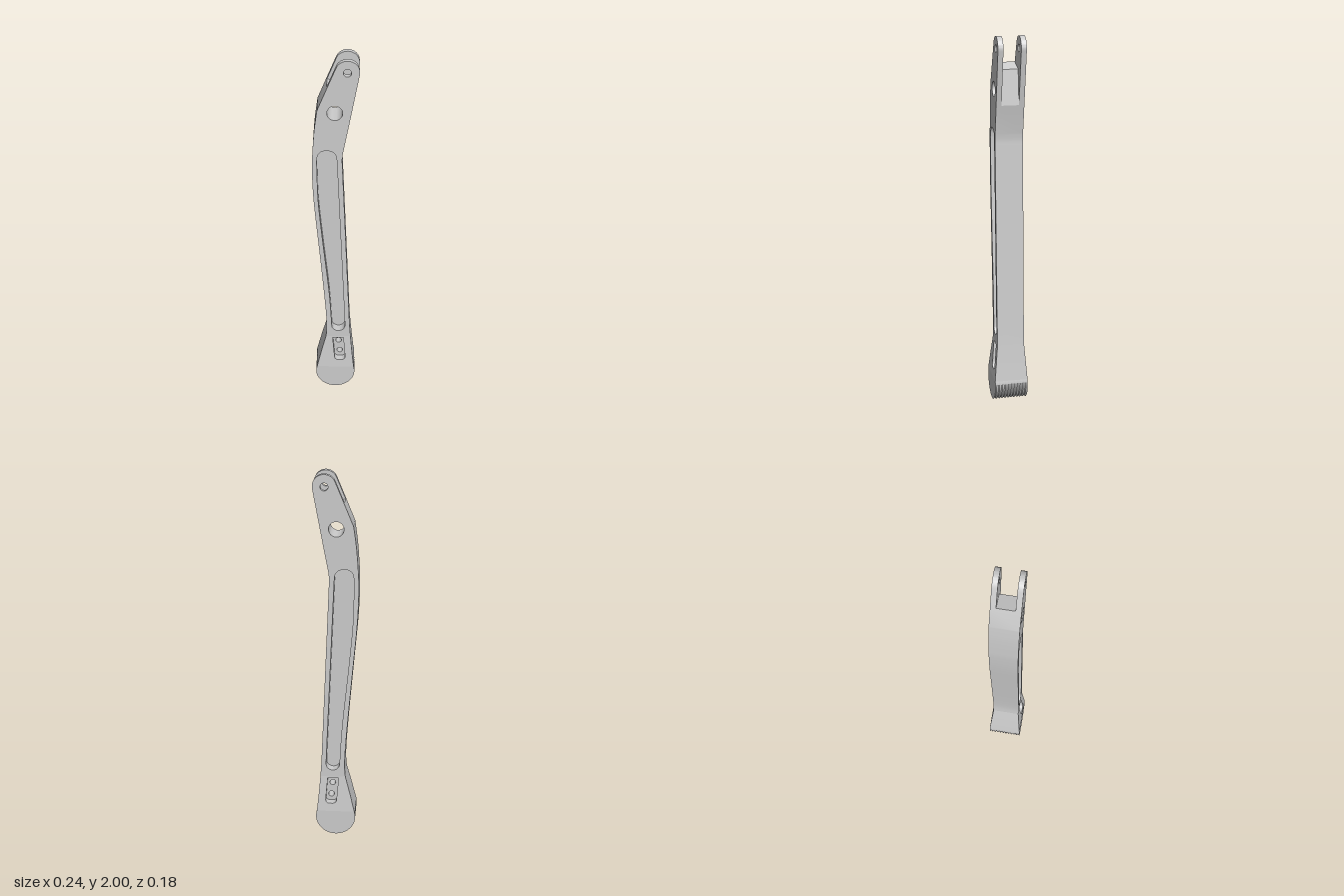
import * as THREE from 'three';
import { toCreasedNormals } from 'three/addons/utils/BufferGeometryUtils.js';

const BODY = 0.073, FLARE = 0.09, CHEEK = 0.045, WEB = 0.022;
const Y_LOW = 0.14, Y_HIGH = 0.345;
const material = new THREE.MeshStandardMaterial({ color: 0xcccccc });
const pts = (list) => list.map(([x, y]) => new THREE.Vector2(x, y));
const spline = (list, n) => new THREE.SplineCurve(pts(list)).getPoints(n);

// half thickness: constant along the beam, flaring toward the foot
const outerZ = (y) => THREE.MathUtils.clamp(
  THREE.MathUtils.mapLinear(y, Y_LOW, Y_HIGH, FLARE, BODY), BODY, FLARE);

// counter-clockwise arc points
function arc(cx, cy, r, a0, a1, n) {
  return Array.from({ length: n + 1 }, (_, i) => {
    const a = a0 + (a1 - a0) * i / n;
    return new THREE.Vector2(cx + r * Math.cos(a), cy + r * Math.sin(a));
  });
}
const circle = (x, y, r) => arc(x, y, r, 0, Math.PI * 2, 32);

// surface from rows of points, facing outward for a counter-clockwise path
function grid(rows) {
  const n = rows[0].length, position = [], index = [];
  rows.forEach((row) => row.forEach((p) => position.push(...p)));
  for (let i = 0; i < rows.length - 1; i++) for (let j = 0; j < n - 1; j++) {
    const a = i * n + j, b = a + n;
    index.push(a, b, b + 1, a, b + 1, a + 1);
  }
  const g = new THREE.BufferGeometry();
  g.setAttribute('position', new THREE.Float32BufferAttribute(position, 3));
  g.setIndex(index);
  return toCreasedNormals(g, 0.5);
}

// wall following a path between two depths
function wall(path, z0, z1) {
  return grid(path.map((p) => [[p.x, p.y, z0(p.y)], [p.x, p.y, z1(p.y)]]));
}

// flat or ramped face; side picks +z or -z, inward turns it toward the middle
function face(path, holes, z, side, inward = false) {
  const shape = new THREE.Shape(path);
  holes.forEach((h) => shape.holes.push(new THREE.Path(h)));
  const g = new THREE.ShapeGeometry(shape);
  const p = g.attributes.position;
  for (let i = 0; i < p.count; i++) p.setZ(i, side * z(p.getY(i)));
  if ((side < 0) !== inward) g.index.array.reverse();
  g.computeVertexNormals();
  return g;
}

export function createModel() {
  const root = new THREE.Group();
  const add = (name, geometry) => {
    const mesh = new THREE.Mesh(geometry, material);
    mesh.name = name;
    root.add(mesh);
  };
  const at = (z) => () => z;
  const neg = (f) => (y) => -f(y);

  // outline, counter-clockwise from the lower right
  const a = Math.asin((Y_LOW - 0.108) / 0.108);
  const foot = arc(0, 0.108, 0.108, Math.PI - a, Math.PI * 2 + a, 56);
  const footL = foot[0], footR = foot[foot.length - 1];
  const rampR = spline([[footR.x, Y_LOW], [0.093, 0.24], [0.084, Y_HIGH]], 8);
  const beamR = [...pts([[0.084, Y_HIGH], [0.078, 0.43]]),
    ...spline([[0.035, 1.435], [0.034, 1.465], [0.037, 1.5]], 6), ...pts([[0.0655, 1.65]])];
  const forkTop = [...pts([[0.0655, 1.65]]),
    ...arc(0.058, 1.94, 0.06, -0.18, Math.PI - 0.41, 24), ...pts([[-0.0425, 1.855]])];
  const beamL = [...pts([[-0.0425, 1.855]]),
    ...spline([[-0.09, 1.74], [-0.105, 1.63], [-0.115, 1.5], [-0.118, 1.4], [-0.111, 1.22],
      [-0.085, 0.92], [-0.058, 0.6], [-0.048, 0.43], [-0.052, Y_HIGH]], 48)];
  const rampL = spline([[-0.052, Y_HIGH], [-0.077, 0.25], [footL.x, Y_LOW]], 10);
  const slotFloor = pts([[0.0655, 1.65], [0.042, 1.83], [-0.0425, 1.855]]);

  // openings
  const groove = [...pts([[0.053, 0.42]]),
    ...spline([[0.008, 1.455], [0.002, 1.493], [-0.018, 1.512], [-0.045, 1.517],
      [-0.07, 1.512], [-0.088, 1.492], [-0.094, 1.455]], 24),
    ...spline([[-0.093, 1.4], [-0.088, 1.22], [-0.067, 0.98], [-0.034, 0.65], [-0.02, 0.42]], 24),
    ...arc(0.0165, 0.42, 0.0365, Math.PI, Math.PI * 2, 16)];
  const pocket = [...pts([[0.044, 0.335], [-0.015, 0.335], [-0.005, 0.215]]),
    ...arc(0.017, 0.208, 0.022, Math.PI, Math.PI * 1.5, 5),
    ...arc(0.035, 0.206, 0.02, Math.PI * 1.5, Math.PI * 2, 5)];
  const pivotHole = circle(-0.003, 1.725, 0.039);
  const pinHole = circle(0.058, 1.938, 0.02);
  const screwHoles = [circle(0.018, 0.295, 0.016), circle(0.025, 0.225, 0.016)];
  const inside = (path) => [...path].reverse();

  // edges of the lever
  for (const [name, path] of [['rightFlareEdge', rampR], ['rightBeamEdge', beamR],
    ['leftBeamEdge', beamL], ['leftFlareEdge', rampL]]) {
    add(name, wall(path, neg(outerZ), outerZ));
  }
  add('forkSlotFloor', wall(slotFloor, at(-CHEEK), at(CHEEK)));
  add('pivotHoleWall', wall(inside(pivotHole), at(-BODY), at(BODY)));
  screwHoles.forEach((h) => add('screwHoleWall', wall(inside(h), at(-CHEEK), at(CHEEK))));

  // foot with V-shaped grip ridges that fade out toward the top of the arc
  const cuts = 22;
  add('ridgedFoot', grid(foot.map((p) => {
    const fade = THREE.MathUtils.clamp((Y_LOW - p.y) / 0.06, 0, 1);
    return Array.from({ length: cuts + 1 }, (_, j) => {
      const s = 1 - (j % 2) * 0.08 * fade;
      return [p.x * s, 0.108 + (p.y - 0.108) * s, -FLARE + 2 * FLARE * j / cuts];
    });
  })));

  // both broad sides, mirrored front to back
  const upper = [...beamR, ...forkTop.slice(1), ...beamL.slice(1)];
  const cheek = [...forkTop, slotFloor[1]];
  for (const side of [1, -1]) {
    const label = side > 0 ? 'front' : 'back';
    const between = (path, inner, outer) => side > 0
      ? wall(path, inner, outer) : wall(path, neg(outer), neg(inner));
    add(label + 'BeamFace', face(upper, [groove, pivotHole, pinHole], at(BODY), side));
    add(label + 'FlareFace', face([...rampR, ...rampL], [pocket], outerZ, side));
    add(label + 'FootFace', face(foot, [], at(FLARE), side));
    // fork cheek
    add(label + 'CheekRim', between(forkTop, at(CHEEK), at(BODY)));
    add(label + 'CheekInside', face(cheek, [pinHole], at(CHEEK), side, true));
    add(label + 'PinHoleWall', between(inside(pinHole), at(CHEEK), at(BODY)));
    // long lightening groove
    add(label + 'GrooveWall', between(inside([...groove, groove[0]]), at(WEB), at(BODY)));
    add(label + 'GrooveFloor', face(groove, [], at(WEB), side));
    // screw pocket
    add(label + 'PocketWall', between(inside([...pocket, pocket[0]]), at(CHEEK), outerZ));
    add(label + 'PocketFloor', face(pocket, screwHoles, at(CHEEK), side));
  }
  return root;
}
